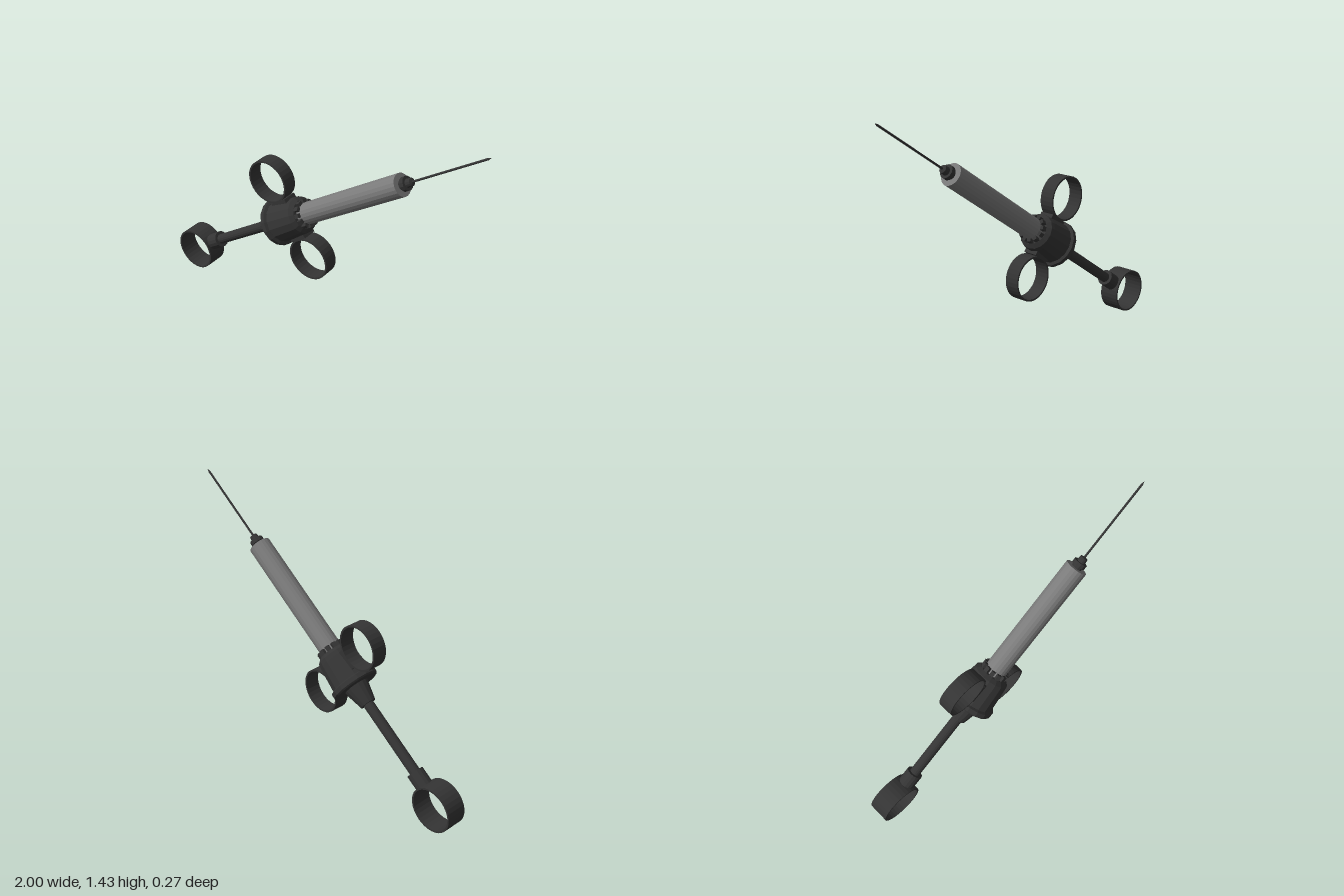
import * as THREE from 'three';

const dark = new THREE.MeshStandardMaterial({ color: 0x343434, flatShading: true });
const grey = new THREE.MeshStandardMaterial({ color: 0x7a7a7a, flatShading: true });

function add(parent, name, geometry, material = dark) {
  const mesh = new THREE.Mesh(geometry, material);
  mesh.name = name;
  parent.add(mesh);
  return mesh;
}

// Turned part; profile is [radius, distance along the axis], low to high
function turned(profile, sides = 16) {
  return new THREE.LatheGeometry(profile.map(([r, s]) => new THREE.Vector2(r, s)), sides);
}

// Flat finger band whose hole faces z
function ring(outer, inner, halfDepth) {
  const h = halfDepth;
  return turned([[inner, -h], [outer, -h], [outer, h], [inner, h], [inner, -h]], 32).rotateX(Math.PI / 2);
}

export function createModel() {
  const model = new THREE.Group();
  // The whole syringe is built along y, then leaned toward +x
  const syringe = new THREE.Group();
  syringe.name = 'syringe';
  syringe.position.set(-0.872, 0.129, 0);
  syringe.rotation.z = -THREE.MathUtils.degToRad(55.1);
  model.add(syringe);

  // Plunger: thumb ring, collar and rod
  add(syringe, 'thumbRing', ring(0.128, 0.118, 0.06));
  add(syringe, 'plungerCollar', turned([[0, 0.119], [0.048, 0.119], [0.048, 0.208], [0, 0.208]]));
  add(syringe, 'plungerRod', turned([[0, 0.2], [0.03, 0.2], [0.03, 0.66], [0, 0.66]]));

  // Body: tapered sleeve, flange, housing and chamfered shoulder
  add(syringe, 'sleeve', turned([[0, 0.643], [0.045, 0.643], [0.074, 0.765], [0, 0.765]]));
  add(syringe, 'flange', turned([[0, 0.757], [0.13, 0.757], [0.137, 0.765], [0.137, 0.79], [0.122, 0.797], [0, 0.797]]));
  add(syringe, 'housing', turned([[0, 0.79], [0.122, 0.79], [0.108, 0.94], [0.104, 0.965], [0.082, 0.985], [0, 0.985]]));

  // Crown of teeth gripping the barrel
  const teeth = 12;
  for (let i = 0; i < teeth; i++) {
    const pivot = new THREE.Group();
    pivot.name = 'crownTooth';
    pivot.rotation.y = ((i + 0.5) / teeth) * Math.PI * 2;
    add(pivot, 'tooth', new THREE.BoxGeometry(0.022, 0.05, 0.024)).position.set(0.069, 0.99, 0);
    syringe.add(pivot);
  }

  // Finger rings on both sides with their mounts
  for (const side of [-1, 1]) {
    const name = side < 0 ? 'upper' : 'lower';
    add(syringe, name + 'FingerRing', ring(0.128, 0.118, 0.043)).position.set(side * 0.245, 0.879, 0);
    add(syringe, name + 'RingMount', new THREE.BoxGeometry(0.04, 0.115, 0.086)).position.set(side * 0.103, 0.882, 0);
  }

  // Barrel, hub and needle
  add(syringe, 'barrel', turned([[0, 0.95], [0.062, 0.95], [0.062, 1.725], [0, 1.725]], 20), grey);
  add(syringe, 'needleHub', turned([
    [0, 1.72], [0.03, 1.72], [0.03, 1.738], [0.039, 1.738], [0.039, 1.762],
    [0.024, 1.762], [0.022, 1.79], [0, 1.797],
  ], 12));
  add(syringe, 'needle', turned([[0, 1.78], [0.006, 1.78], [0.006, 2.262], [0, 2.282]], 8));

  return model;
}
